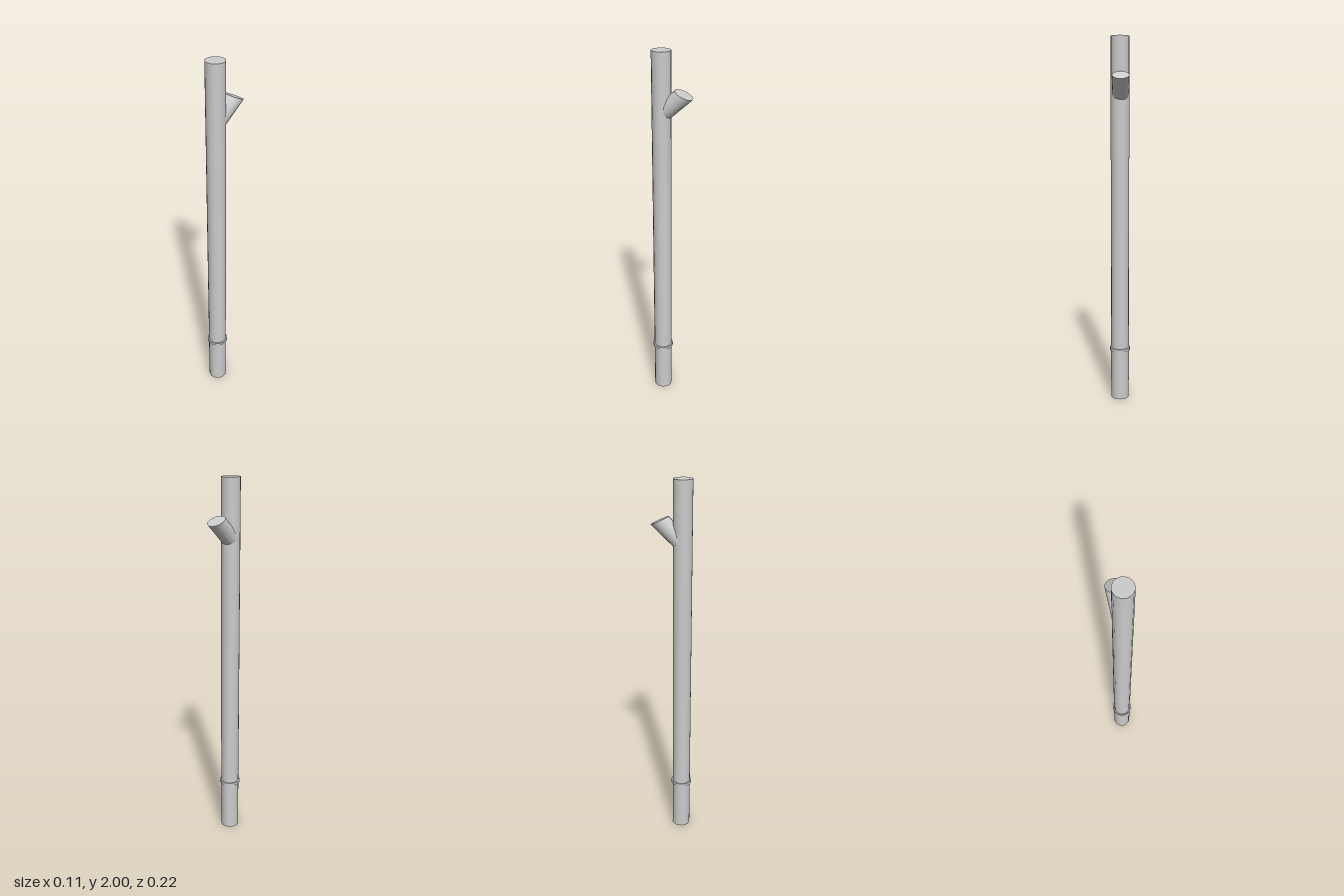
import * as THREE from 'three';

const POLE_R = 0.05, POLE_Z = 0.053, SIDES = 16;

export function createModel() {
  const group = new THREE.Group();
  const material = new THREE.MeshStandardMaterial({ color: 0xcccccc });

  const add = (name, geometry) => {
    const mesh = new THREE.Mesh(geometry, material);
    mesh.name = name;
    group.add(mesh);
    return mesh;
  };

  // Upright round sections stacked along the pole axis
  const section = (name, radius, y0, y1) => {
    const mesh = add(name, new THREE.CylinderGeometry(radius, radius, y1 - y0, SIDES));
    mesh.position.set(0, (y0 + y1) / 2, POLE_Z);
  };
  section('lowerPole', POLE_R, 0, 0.285);
  section('collar', 0.057, 0.28, 0.295);
  section('upperPole', POLE_R, 0.285, 2);

  // Slanted stub: oblique flat cap on top, lower end slid along its axis onto the pole
  const stub = new THREE.CylinderGeometry(0.0455, 0.0455, 1, SIDES);
  const pos = stub.attributes.position;
  for (let i = 0; i < pos.count; i++) {
    const x = pos.getX(i) - 0.003, dz = pos.getZ(i), zCap = -0.065 + dz;
    const yCap = 1.794 + 0.46 * -0 + 0.46 * dz;
    if (pos.getY(i) > 0) {
      pos.setXYZ(i, x, yCap, zCap);
    } else {
      const zEnd = POLE_Z - Math.sqrt(Math.max(0, POLE_R ** 2 - x * x)) + 0.005;
      pos.setXYZ(i, x, yCap - 0.905 * (zEnd - zCap), zEnd);
    }
  }
  // Smooth side normals, hard cap edge (vertices are already split there)
  stub.computeVertexNormals();
  add('branchStub', stub);

  return group;
}
